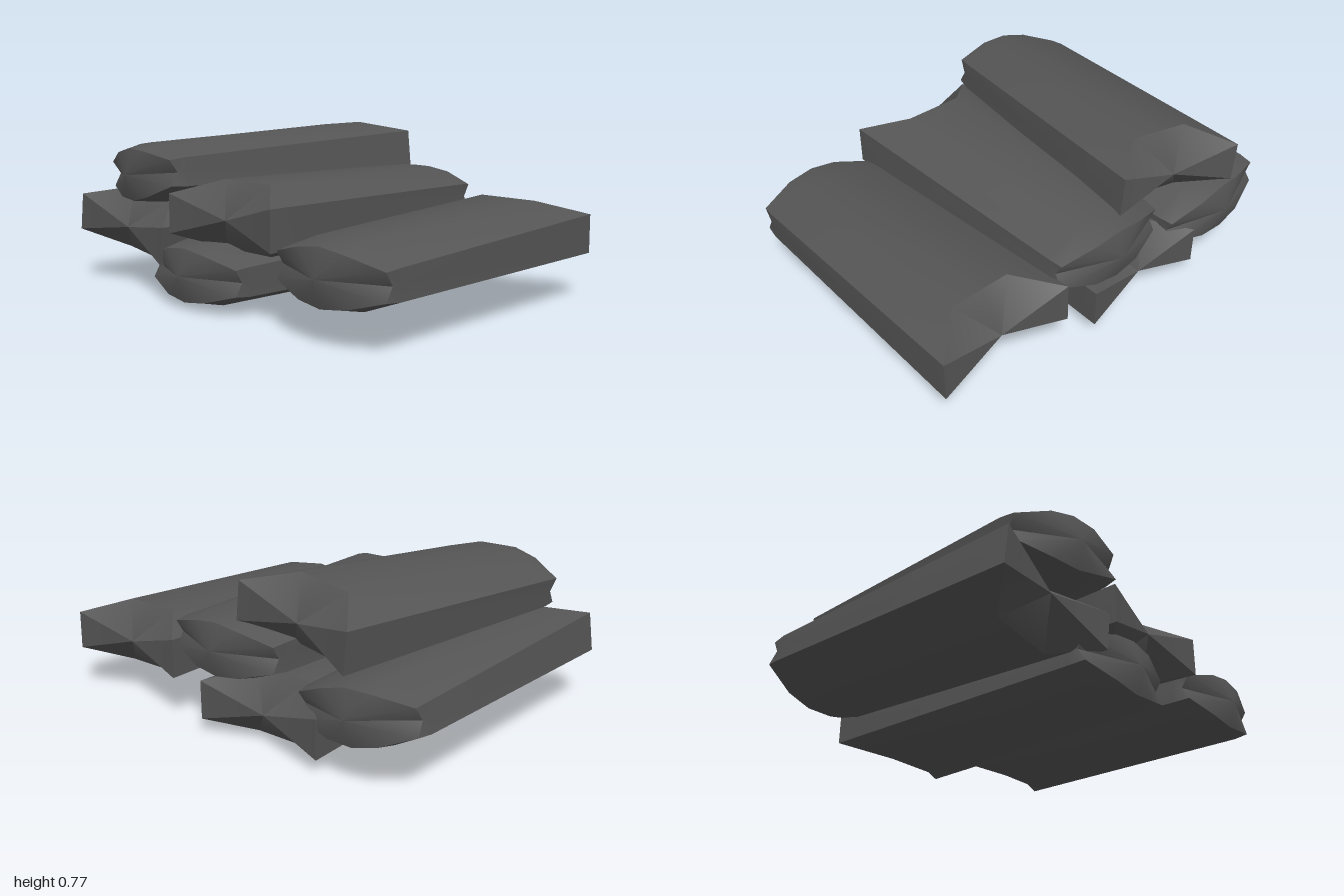
import * as THREE from 'three';
import { toCreasedNormals } from 'three/addons/utils/BufferGeometryUtils.js';

// Quarter sections, from side middle to top middle: [x, y, z]
const hollowRim = [[0.33, 0, -0.71], [0.33, 0.09, -0.71], [0.145, 0.155, -0.535], [0, 0.155, -0.535]];
const shoulder = [[0.3, 0, 0.6], [0.3, 0.065, 0.6], [0.12, 0.135, 0.6], [0, 0.14, 0.6]];
const noseRim = [[0.29, 0, 0.635], [0.29, 0.058, 0.67], [0.125, 0.105, 0.715], [0, 0.122, 0.72]];

// Mirror a quarter section into a closed ring, counter-clockwise seen from +z
function ring(q) {
  const flip = (p, sx, sy) => [p[0] * sx, p[1] * sy, p[2]];
  const [a, b, c, d] = q;
  return [
    a, b, c, d,
    flip(c, -1, 1), flip(b, -1, 1), flip(a, -1, 1), flip(b, -1, -1),
    flip(c, -1, -1), flip(d, 1, -1), flip(c, 1, -1), flip(b, 1, -1),
  ];
}

function toGeometry(triangles, crease) {
  const g = new THREE.BufferGeometry();
  g.setAttribute('position', new THREE.Float32BufferAttribute(triangles.flat(), 3));
  return toCreasedNormals(g, crease);
}

// Long sides lofted through the rings
function sidesGeometry(rings) {
  const t = [];
  for (let k = 0; k < rings.length - 1; k++) {
    const r = rings[k], s = rings[k + 1];
    for (let i = 0; i < r.length; i++) {
      const j = (i + 1) % r.length;
      t.push(r[i], r[j], s[j], r[i], s[j], s[i]);
    }
  }
  return toGeometry(t, 0.75);
}

// End face: a fan from the rim to one centre point
function endGeometry(rim, z, facesFront) {
  const t = [];
  rim.forEach((p, i) => {
    const n = rim[(i + 1) % rim.length];
    t.push([0, 0, z], ...(facesFront ? [p, n] : [n, p]));
  });
  return toGeometry(t, 0.9);
}

export function createModel() {
  const model = new THREE.Group();
  model.name = 'briquettePile';
  const charcoal = new THREE.MeshStandardMaterial({ color: 0x555555 });
  charcoal.name = 'charcoal grey';

  const rings = [hollowRim, shoulder, noseRim].map(ring);
  const parts = {
    sides: sidesGeometry(rings),
    hollowEnd: endGeometry(rings[0], -0.665, false),
    pointedEnd: endGeometry(rings[2], 0.755, true),
  };

  // name, position, rotation (pitch, yaw, roll)
  const pieces = [
    ['bottomBriquette', [-0.17, 0.157, 0], [0, 0, 0]],
    ['leftBriquette', [-0.67, 0.305, 0], [0, Math.PI, 0.14]],
    ['middleBriquette', [0.05, 0.42, 0], [0, Math.PI, 0]],
    ['rightBriquette', [0.665, 0.293, 0], [0.018, 0, 0]],
    ['topBriquette', [-0.457, 0.588, 0], [0.025, -0.145, 0.1]],
  ];
  for (const [name, position, rotation] of pieces) {
    const piece = new THREE.Group();
    piece.name = name;
    for (const [part, geometry] of Object.entries(parts)) {
      const mesh = new THREE.Mesh(geometry, charcoal);
      mesh.name = part;
      piece.add(mesh);
    }
    piece.position.set(...position);
    piece.rotation.set(...rotation);
    model.add(piece);
  }
  return model;
}
